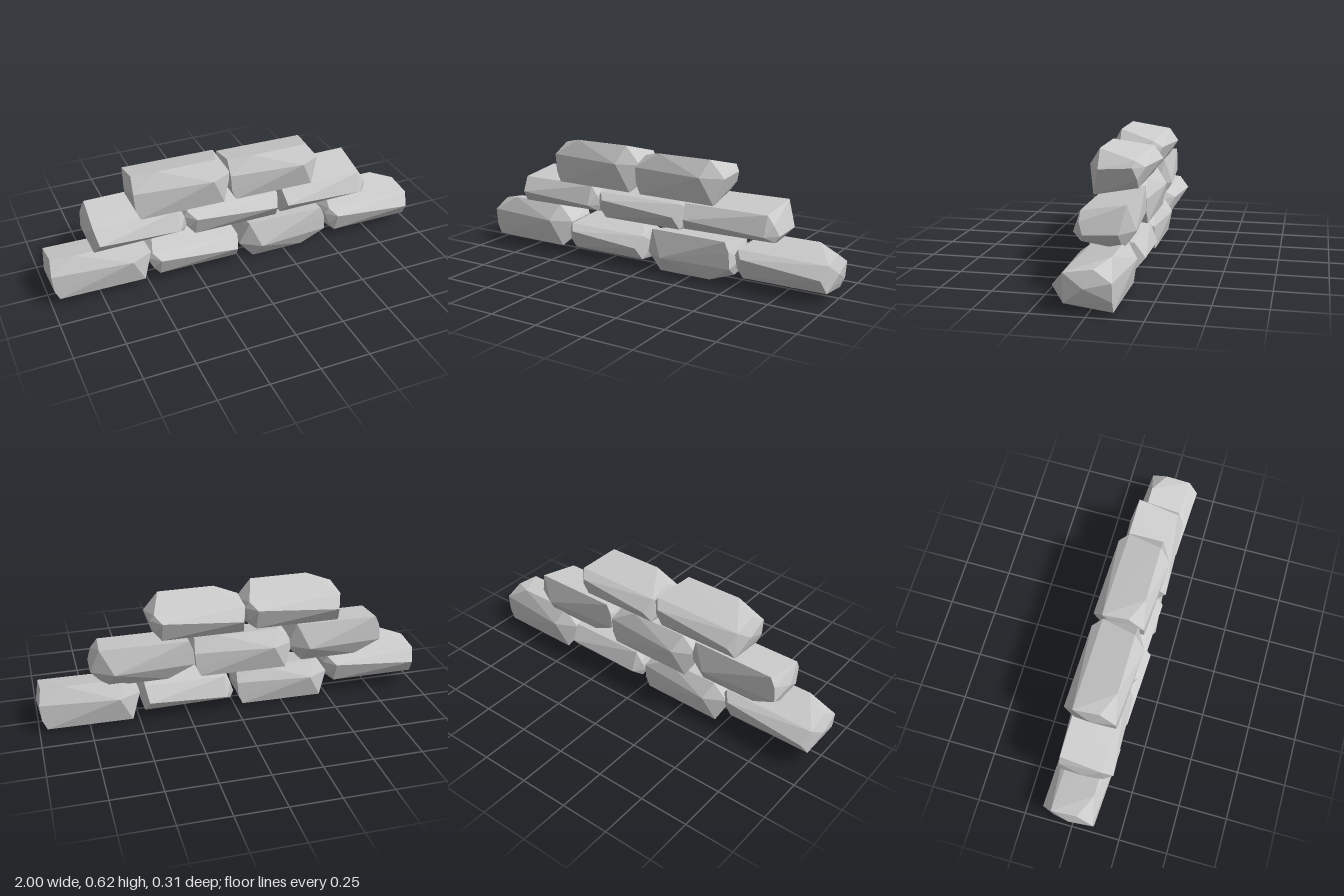
import * as THREE from 'three';
import { ConvexGeometry } from 'three/addons/geometries/ConvexGeometry.js';

// Corners of one faceted stone, centred on the origin and lying along x.
const corners = [
  // left end: blunt tip and the ring around it
  [-0.26, 0, -0.01], [-0.235, 0.085, 0.03], [-0.24, 0.065, -0.1], [-0.22, 0, -0.15],
  [-0.235, -0.08, -0.1], [-0.22, -0.115, 0.11], [-0.243, -0.06, 0.11], [-0.25, 0.03, 0.11],
  // top ridge and front bulge
  [-0.12, 0.115, 0.085], [0.18, 0.115, 0.085], [0.15, 0.025, 0.14],
  // right end: broad sloping face and its rim
  [0.26, 0.02, 0.08], [0.255, 0.03, -0.08], [0.235, -0.03, -0.1], [0.2, -0.08, -0.1],
  [0.215, -0.12, 0.11], [0.235, 0.065, -0.09], [0.2, 0.03, -0.135],
];

// Rows of stones: extents in x and y, and the axis of the half turn that varies them.
const rows = {
  bottomStone: [
    [-1, -0.48, 0.04, 0.26, null],
    [-0.5, 0, 0.01, 0.21, 'Y'],
    [0, 0.49, 0, 0.22, 'Z'],
    [0.49, 1, 0.01, 0.23, 'Y'],
  ],
  middleStone: [
    [-0.79, -0.28, 0.215, 0.43, 'X'],
    [-0.31, 0.22, 0.2, 0.41, 'Y'],
    [0.2, 0.73, 0.2, 0.413, 'X'],
  ],
  topStone: [
    [-0.57, -0.05, 0.39, 0.625, null],
    [-0.07, 0.43, 0.385, 0.605, null],
  ],
};

// Turn the basic stone, then fit it to its place in the row.
function makeStone(name, [x0, x1, y0, y1, axis], material) {
  const geometry = new ConvexGeometry(corners.map((c) => new THREE.Vector3(...c)));
  if (axis) geometry['rotate' + axis](Math.PI);
  geometry.computeBoundingBox();
  const { min, max } = geometry.boundingBox;
  const sx = (x1 - x0) / (max.x - min.x);
  const sy = (y1 - y0) / (max.y - min.y);
  geometry.translate(-min.x, -min.y, 0);
  geometry.scale(sx, sy, 1.02);
  const stone = new THREE.Mesh(geometry, material);
  stone.name = name;
  stone.position.set(x0, y0, 0);
  return stone;
}

export function createModel() {
  const group = new THREE.Group();
  group.name = 'stoneWall';
  const material = new THREE.MeshStandardMaterial({ color: 0xcccccc, flatShading: true });
  for (const [name, stones] of Object.entries(rows)) {
    stones.forEach((s, i) => group.add(makeStone(name + (i + 1), s, material)));
  }
  return group;
}
